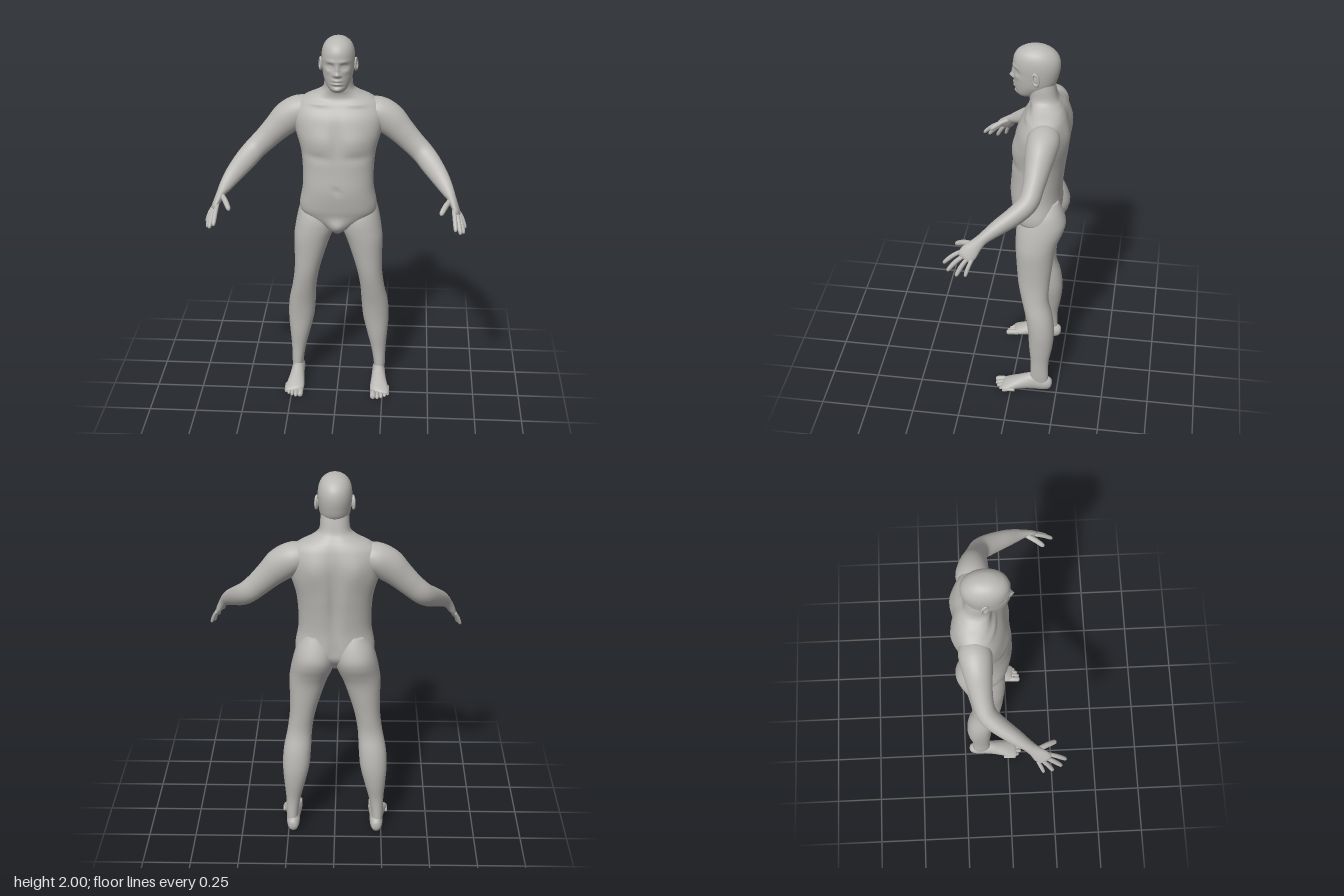
import * as THREE from 'three';

const skin = new THREE.MeshStandardMaterial({ color: 0xbab8b4 });
skin.name = 'clay grey';

// Smoothly resample rows of numbers (Catmull-Rom on every column)
function resample(rows, steps) {
  const out = [], last = rows.length - 1;
  const at = i => rows[Math.min(last, Math.max(0, i))];
  for (let i = 0; i < last; i++) {
    for (let s = 0; s < steps; s++) {
      const t = s / steps;
      out.push(rows[i].map((p1, k) => {
        const p0 = at(i - 1)[k], p2 = at(i + 1)[k], p3 = at(i + 2)[k];
        return p1 + 0.5 * t * (p2 - p0 + t * (2 * p0 - 5 * p1 + 4 * p2 - p3 + t * (3 * (p1 - p2) + p3 - p0)));
      }));
    }
  }
  out.push(rows[last]);
  return out;
}

// Skin a list of closed rings and cap both ends
function skinRings(rings) {
  const n = rings[0].length, m = rings.length, pos = [], idx = [];
  rings.forEach(r => r.forEach(p => pos.push(p.x, p.y, p.z)));
  for (let i = 0; i < m - 1; i++) {
    for (let j = 0; j < n; j++) {
      const a = i * n + j, b = i * n + (j + 1) % n;
      idx.push(a, b, a + n, b, b + n, a + n);
    }
  }
  [0, m - 1].forEach((r, end) => {
    const c = rings[r].reduce((s, p) => s.add(p), new THREE.Vector3()).divideScalar(n);
    const k = pos.length / 3;
    pos.push(c.x, c.y, c.z);
    for (let j = 0; j < n; j++) {
      const a = r * n + j, b = r * n + (j + 1) % n;
      if (end) idx.push(a, b, k); else idx.push(b, a, k);
    }
  });
  const g = new THREE.BufferGeometry();
  g.setAttribute('position', new THREE.Float32BufferAttribute(pos, 3));
  g.setIndex(idx);
  g.computeVertexNormals();
  return g;
}

// Upright body section stack; rows rise: [y, xMin, xMax, zFront, zBack]
function stack(rows, sides, steps, power, deform) {
  const e = 2 / power, bend = v => Math.sign(v) * Math.abs(v) ** e;
  return skinRings(resample(rows, steps).map(([y, x0, x1, f, b]) =>
    Array.from({ length: sides }, (_, j) => {
      const a = j / sides * Math.PI * 2;
      const p = new THREE.Vector3((x0 + x1) / 2 + (x1 - x0) / 2 * bend(Math.sin(a)), y,
        (f + b) / 2 + (f - b) / 2 * bend(Math.cos(a)));
      if (deform) deform(p, Math.cos(a));
      return p;
    })));
}

// Limb along a path; rows: [x, y, z, radius toward ref, radius across]
function limb(rows, ref, sides = 20, steps = 4) {
  const r = resample(rows, steps), c = r.map(p => new THREE.Vector3(p[0], p[1], p[2]));
  return skinRings(r.map((p, i) => {
    const t = c[Math.min(i + 1, c.length - 1)].clone().sub(c[Math.max(i - 1, 0)]).normalize();
    const b = ref.clone().addScaledVector(t, -ref.dot(t)).normalize();
    const n = t.clone().cross(b);
    return Array.from({ length: sides }, (_, j) => {
      const a = j / sides * Math.PI * 2;
      return c[i].clone().addScaledVector(b, p[3] * Math.cos(a)).addScaledVector(n, p[4] * Math.sin(a));
    });
  }));
}

// Slim rounded digit, arched a little in the middle
function digit(a, b, r, arch, ref) {
  const at = (t, k, lift = 0) => [0, 1, 2].map(i => a[i] + (b[i] - a[i]) * t + (i === 1 ? lift : 0)).concat(r * k, r * k);
  return limb([at(0, 0.9), at(0.45, 1, arch), at(0.8, 0.95, arch * 0.5), at(0.94, 0.72), at(1, 0.15)], ref, 10, 3);
}

// Mirrored-in-x soft bumps: [x, y, push in z, spread x, spread y]
const bumps = (p, list) => list.reduce((s, [x, y, d, sx, sy]) =>
  s + d * Math.exp(-(((Math.abs(p.x) - x) / sx) ** 2) - ((p.y - y) / sy) ** 2), 0);

const CHEST = [[0.09, 1.47, 0.012, 0.075, 0.06], [0, 1.48, -0.008, 0.018, 0.1], [0.1, 1.385, -0.007, 0.07, 0.02],
  [0, 1.21, -0.012, 0.012, 0.012], [0, 1.0, 0.02, 0.035, 0.035], [0.1, 1.655, 0.008, 0.06, 0.012]];
const BACK = [[0, 1.4, 0.022, 0.025, 0.22], [0.1, 1.55, -0.012, 0.05, 0.08], [0, 1.1, 0.012, 0.02, 0.06]];
const FACE = [[0.036, 1.872, -0.013, 0.02, 0.014], [0.035, 1.87, 0.007, 0.011, 0.007], [0.03, 1.898, 0.005, 0.025, 0.009],
  [0, 1.855, 0.012, 0.009, 0.026], [0, 1.833, 0.018, 0.012, 0.011], [0.013, 1.829, 0.009, 0.008, 0.007],
  [0, 1.8, 0.009, 0.022, 0.006], [0, 1.791, -0.005, 0.022, 0.003], [0, 1.782, 0.009, 0.019, 0.006],
  [0, 1.769, -0.006, 0.025, 0.006], [0, 1.75, 0.008, 0.02, 0.011], [0.05, 1.845, 0.004, 0.018, 0.014]];

export function createModel() {
  const model = new THREE.Group();
  model.name = 'standingFigure';
  const Y = new THREE.Vector3(0, 1, 0), Z = new THREE.Vector3(0, 0, 1);

  const add = (name, g) => {
    const mesh = new THREE.Mesh(g, skin);
    mesh.name = name;
    model.add(mesh);
  };
  const pair = (name, g) => {
    add('left' + name, g);
    const m = g.clone().scale(-1, 1, 1), ix = m.index.array;
    for (let i = 0; i < ix.length; i += 3) [ix[i], ix[i + 1]] = [ix[i + 1], ix[i]];
    m.computeVertexNormals();
    add('right' + name, m);
  };

  // Torso and neck: [y, half width, front, back]
  const torso = [[0.95, 0.02, -0.03, -0.1], [0.97, 0.05, -0.012, -0.14], [1.0, 0.1, -0.004, -0.18],
    [1.05, 0.185, 0.006, -0.225], [1.1, 0.202, 0.018, -0.236], [1.2, 0.186, 0.03, -0.234], [1.3, 0.185, 0.024, -0.243],
    [1.4, 0.195, 0.018, -0.256], [1.5, 0.222, 0.006, -0.264], [1.58, 0.232, -0.012, -0.264], [1.64, 0.215, -0.045, -0.252],
    [1.675, 0.17, -0.066, -0.238], [1.7, 0.115, -0.068, -0.222], [1.73, 0.078, -0.06, -0.203], [1.79, 0.07, -0.052, -0.188],
    [1.86, 0.06, -0.06, -0.17]].map(([y, w, f, b]) => [y, -w, w, f, b]);
  add('torso', stack(torso, 64, 6, 2.3, (p, c) => {
    p.z += c > 0 ? bumps(p, CHEST) * Math.min(1, c * 2) : bumps(p, BACK) * Math.min(1, -c * 2);
  }));

  // Head with sculpted face
  const head = [[1.728, 0.025, -0.02, -0.08], [1.738, 0.04, -0.003, -0.1], [1.76, 0.056, 0.008, -0.135],
    [1.8, 0.073, 0.013, -0.185], [1.85, 0.081, 0.016, -0.204], [1.9, 0.084, 0.02, -0.211], [1.94, 0.079, 0.016, -0.203],
    [1.97, 0.065, -0.002, -0.18], [1.99, 0.042, -0.034, -0.148], [1.998, 0.02, -0.062, -0.12], [2.0, 0.003, -0.088, -0.094]]
    .map(([y, w, f, b]) => [y, -w, w, f, b]);
  add('head', stack(head, 72, 9, 2.1, (p, c) => {
    if (c > 0) p.z += bumps(p, FACE) * Math.min(1, c * 2);
  }));

  // Ears: a rim around a flat shell
  const ear = new THREE.TorusGeometry(0.021, 0.007, 8, 20).scale(0.75, 1.35, 1);
  const shell = new THREE.SphereGeometry(0.019, 14, 10).scale(0.75, 1.35, 0.4);
  [ear, shell].forEach((g, i) =>
    pair(i ? 'EarShell' : 'EarRim', g.rotateZ(0.15).rotateY(Math.PI / 2 - 0.3).translate(i ? 0.084 : 0.089, 1.857, -0.1)));

  // Legs, from ankle to buttock
  pair('Leg', stack([[0.03, 0.197, 0.254, -0.112, -0.206], [0.1, 0.198, 0.26, -0.105, -0.203], [0.2, 0.183, 0.262, -0.105, -0.203],
    [0.3, 0.158, 0.27, -0.095, -0.22], [0.4, 0.135, 0.276, -0.088, -0.227], [0.5, 0.126, 0.27, -0.073, -0.216],
    [0.6, 0.12, 0.25, -0.05, -0.192], [0.7, 0.103, 0.237, -0.03, -0.195], [0.8, 0.075, 0.235, -0.02, -0.205],
    [0.9, 0.042, 0.236, -0.012, -0.217], [0.96, 0.016, 0.229, -0.01, -0.236], [1.01, 0.003, 0.22, -0.012, -0.257],
    [1.06, 0.002, 0.208, -0.025, -0.265], [1.12, 0.012, 0.188, -0.06, -0.248], [1.18, 0.05, 0.15, -0.1, -0.222]], 32, 4, 2.15));

  // Feet and toes
  pair('Foot', limb([[0.225, 0.04, -0.223, 0.008, 0.008], [0.225, 0.042, -0.213, 0.032, 0.024], [0.225, 0.05, -0.18, 0.045, 0.034],
    [0.226, 0.057, -0.12, 0.052, 0.036], [0.228, 0.046, -0.06, 0.041, 0.042], [0.232, 0.032, 0, 0.028, 0.05],
    [0.238, 0.023, 0.035, 0.018, 0.05], [0.238, 0.02, 0.05, 0.008, 0.036]], Y));
  [[0.2, 0.092, 0.016], [0.224, 0.089, 0.0115], [0.245, 0.079, 0.011], [0.264, 0.064, 0.0105], [0.28, 0.046, 0.01]]
    .forEach(([x, z, r], i) => pair('Toe' + (i + 1), digit([x, 0.022, z - 0.07], [x, r, z], r, 0.005, Y)));

  // Arms from shoulder through elbow to palm
  pair('Arm', limb([[0.12, 1.605, -0.16, 0.055, 0.045], [0.19, 1.596, -0.156, 0.08, 0.076], [0.26, 1.553, -0.148, 0.075, 0.084],
    [0.32, 1.497, -0.14, 0.063, 0.071], [0.38, 1.437, -0.13, 0.053, 0.062], [0.435, 1.385, -0.112, 0.05, 0.058],
    [0.48, 1.342, -0.06, 0.046, 0.056], [0.53, 1.295, 0.02, 0.038, 0.046], [0.565, 1.255, 0.08, 0.029, 0.033],
    [0.585, 1.228, 0.112, 0.032, 0.023], [0.602, 1.195, 0.143, 0.042, 0.019], [0.614, 1.172, 0.162, 0.041, 0.015],
    [0.62, 1.162, 0.17, 0.03, 0.007]], Z, 28));

  // Fingers and thumb
  [['IndexFinger', [0.596, 1.192, 0.178], [0.606, 1.115, 0.275], 0.0115], ['MiddleFinger', [0.609, 1.178, 0.165], [0.632, 1.09, 0.252], 0.012],
    ['RingFinger', [0.619, 1.168, 0.15], [0.65, 1.075, 0.207], 0.0115], ['LittleFinger', [0.625, 1.162, 0.13], [0.66, 1.085, 0.16], 0.01],
    ['Thumb', [0.582, 1.225, 0.125], [0.53, 1.182, 0.226], 0.014]]
    .forEach(([name, a, b, r]) => pair(name, digit(a, b, r, 0.008, Z)));

  return model;
}
